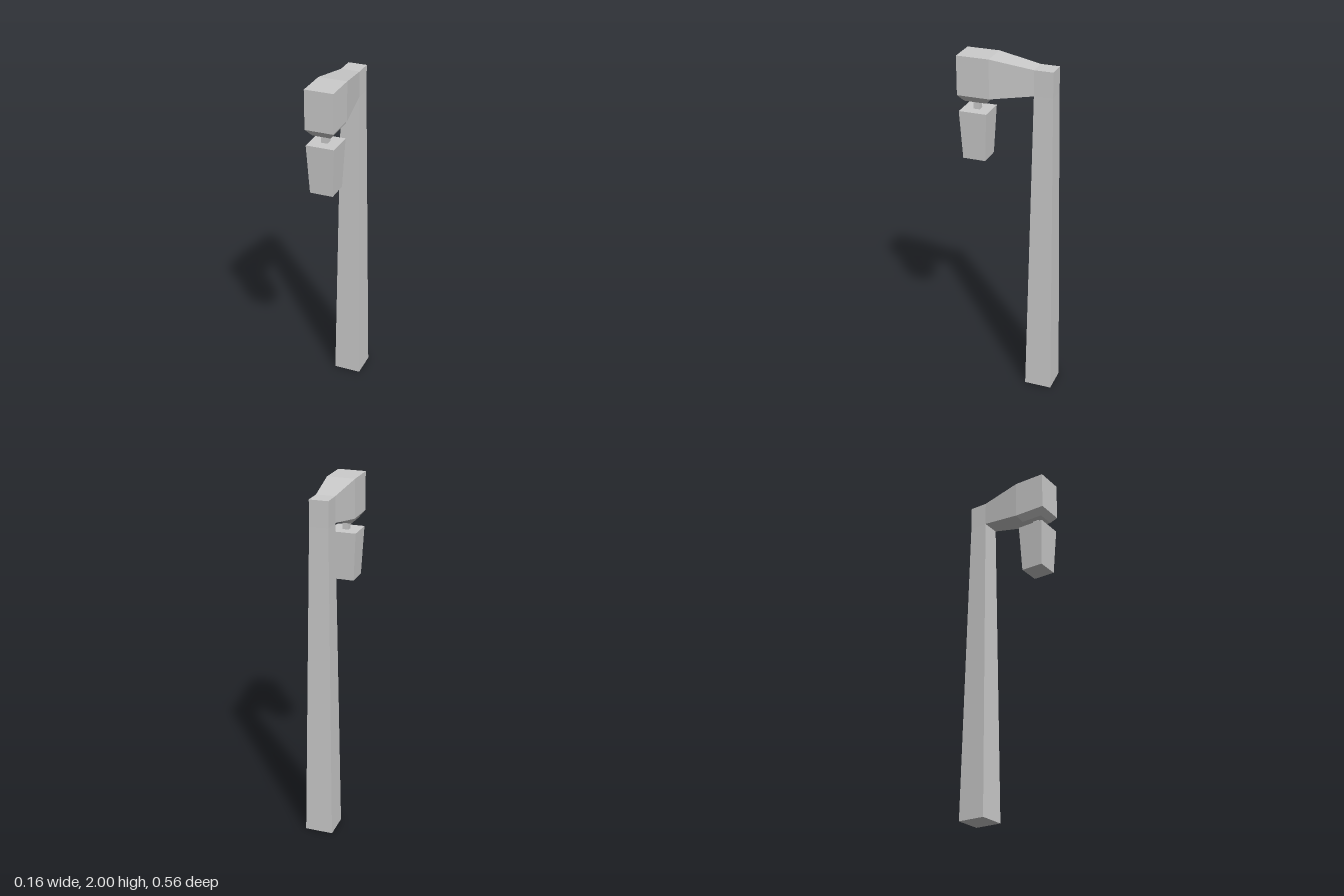
import * as THREE from 'three';

const material = new THREE.MeshStandardMaterial({ color: 0xcccccc, flatShading: true });

// Four-cornered cross-sections, counter-clockwise seen from the + end of the axis
const level = (y, hx, z0, z1) => [[hx, y, z1], [hx, y, z0], [-hx, y, z0], [-hx, y, z1]];
const slice = (z, hx, y0, y1) => [[hx, y0, z], [hx, y1, z], [-hx, y1, z], [-hx, y0, z]];

// Closed faceted solid through a row of cross-sections
function loft(name, rings) {
  const pos = [];
  const quad = (a, b, c, d) => [a, b, c, a, c, d].forEach(p => pos.push(...p));
  for (let i = 0; i < rings.length - 1; i++) {
    const a = rings[i], b = rings[i + 1];
    for (let j = 0; j < 4; j++) {
      const k = (j + 1) % 4;
      quad(a[j], a[k], b[k], b[j]);
    }
  }
  quad(...[...rings[0]].reverse());
  quad(...rings[rings.length - 1]);
  const geometry = new THREE.BufferGeometry();
  geometry.setAttribute('position', new THREE.Float32BufferAttribute(pos, 3));
  geometry.computeVertexNormals();
  const mesh = new THREE.Mesh(geometry, material);
  mesh.name = name;
  return mesh;
}

export function createModel() {
  const group = new THREE.Group();
  group.name = 'lampPost';
  const headZ = 0.187, lampZ = 0.192;

  group.add(
    // Tapered square post
    loft('post', [
      level(0, 0.08, -0.279, -0.12),
      level(1.82, 0.053, -0.252, -0.146),
      level(1.963, 0.053, -0.252, -0.146),
    ]),
    // Arm flaring from the post into the block-shaped head
    loft('arm', [
      slice(-0.146, 0.053, 1.82, 1.963),
      slice(0.095, 0.08, 1.78, 2),
      slice(0.279, 0.08, 1.78, 2),
    ]),
    // Chamfered underside of the head
    loft('headBase', [
      level(1.742, 0.051, headZ - 0.065, headZ + 0.062),
      level(1.78, 0.08, 0.095, 0.279),
    ]),
    // Hanger and lantern
    loft('hanger', [
      level(1.69, 0.018, lampZ - 0.018, lampZ + 0.018),
      level(1.742, 0.018, lampZ - 0.018, lampZ + 0.018),
    ]),
    loft('lantern', [
      level(1.412, 0.065, lampZ - 0.065, lampZ + 0.065),
      level(1.69, 0.079, lampZ - 0.079, lampZ + 0.079),
    ]),
  );
  return group;
}
